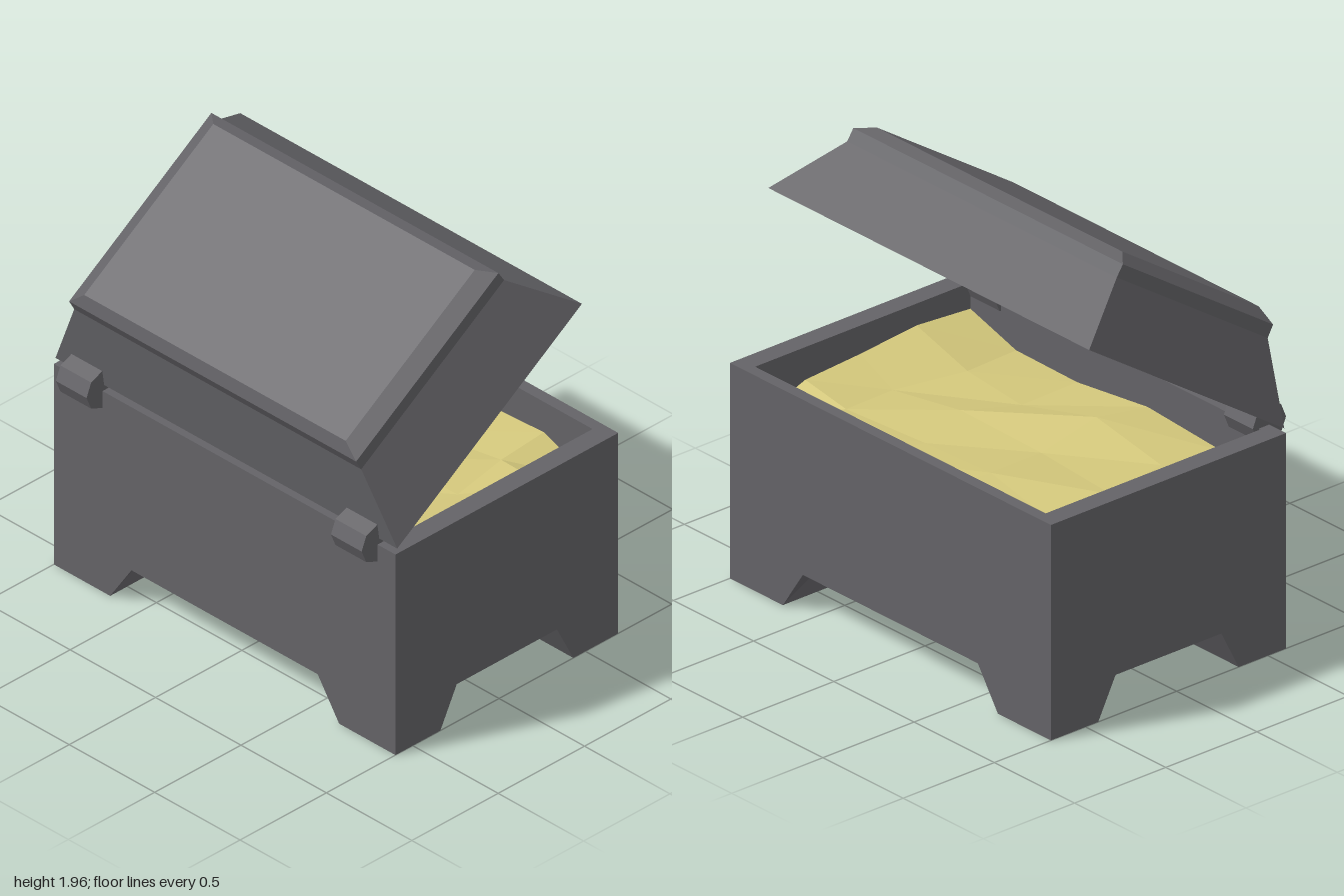
import * as THREE from 'three';

// Closed faceted solid through four-cornered rings (counterclockwise from above).
function loft(rings) {
  const pos = [];
  const quad = (a, b, c, d) => pos.push(...a, ...b, ...c, ...a, ...c, ...d);
  const first = rings[0], last = rings[rings.length - 1];
  quad(first[3], first[2], first[1], first[0]);
  for (let r = 0; r + 1 < rings.length; r++) {
    for (let i = 0; i < 4; i++) {
      const j = (i + 1) % 4;
      quad(rings[r][i], rings[r][j], rings[r + 1][j], rings[r + 1][i]);
    }
  }
  quad(...last);
  const g = new THREE.BufferGeometry();
  g.setAttribute('position', new THREE.Float32BufferAttribute(pos, 3));
  g.computeVertexNormals();
  return g;
}

// Rectangle ring at height y, half width x, from zBack to zFront.
const rect = (y, x, zBack, zFront) =>
  [[-x, y, zFront], [x, y, zFront], [x, y, zBack], [-x, y, zBack]];

export function createModel() {
  const model = new THREE.Group();
  model.name = 'chest';
  const grey = new THREE.MeshStandardMaterial({ color: 0x646367 });
  grey.name = 'dark grey';
  const gold = new THREE.MeshStandardMaterial({ color: 0xd4c87c });
  gold.name = 'pale gold';

  const add = (name, geometry, material, parent = model) => {
    const mesh = new THREE.Mesh(geometry, material);
    mesh.name = name;
    parent.add(mesh);
    return mesh;
  };

  // Hollow body
  add('body', loft([
    rect(0.185, 1, -0.69, 0.6),
    rect(0.99, 1, -0.69, 0.6),
    rect(0.99, 0.905, -0.635, 0.545),
    rect(0.3, 0.905, -0.635, 0.545),
  ]), grey);

  // Four feet, flaring toward the body
  for (const sx of [1, -1]) {
    for (const sz of [1, -1]) {
      const zOut = sz > 0 ? 0.6 : -0.69;
      const ring = (y, frontX, sideZ, innerX, innerZ) => {
        const pts = [[frontX, 0], [1, 0], [1, sideZ], [innerX, innerZ]]
          .map(([x, d]) => [sx * x, y, zOut - sz * d]);
        return sx * sz > 0 ? pts : pts.reverse();
      };
      add('foot', loft([
        ring(0, 0.67, 0.26, 0.67, 0.26),
        ring(0.185, 0.545, 0.355, 0.64, 0.29),
      ]), grey);
    }
  }

  // Open hollow lid, hinged along the front edge
  const lid = add('lid', loft([
    rect(0.35, 0.68, -1.08, -0.2),
    rect(0, 0.905, -1.23, -0.055),
    rect(0, 1, -1.284, 0),
    rect(0.31, 0.84, -1.139, -0.146),
    rect(0.37, 0.84, -1.139, -0.15),
    rect(0.413, 0.765, -1.092, -0.195),
  ]), grey);
  lid.position.set(0, 1.015, 0.59);
  lid.rotation.x = 0.586;

  // Octagonal hinge barrels
  for (const s of [1, -1]) {
    const barrel = new THREE.CylinderGeometry(0.091, 0.091, 0.18, 8).toNonIndexed();
    barrel.rotateZ(Math.PI / 2);
    barrel.computeVertexNormals();
    add('hinge', barrel, grey).position.set(s * 0.805, 0.998, 0.601);
  }

  // Lumpy treasure heap, rows run back to front
  const columns = [-0.905, -0.66, -0.2, 0.24, 0.62, 0.905];
  const rows = [-0.635, -0.36, -0.06, 0.25, 0.545];
  const heights = [
    [0.80, 0.81, 0.83, 0.82, 0.84, 0.74],
    [0.80, 0.79, 0.84, 0.80, 0.82, 0.84],
    [0.78, 0.82, 0.80, 0.83, 0.80, 0.86],
    [0.80, 0.81, 0.86, 0.79, 0.81, 0.89],
    [0.78, 0.80, 0.83, 0.78, 0.785, 0.87],
  ];
  let heap = new THREE.PlaneGeometry(1, 1, 5, 4);
  heap.rotateX(-Math.PI / 2);
  const p = heap.attributes.position;
  rows.forEach((z, r) => columns.forEach((x, c) => {
    const inner = r > 0 && r < 4 && c > 0 && c < 5 ? 1 : 0;
    p.setXYZ(r * 6 + c, x + inner * 0.05 * Math.sin(r * 2.3 + c),
      heights[r][c], z + inner * 0.04 * Math.cos(r + c * 1.9));
  }));
  heap = heap.toNonIndexed();
  heap.computeVertexNormals();
  add('treasure', heap, gold);

  return model;
}
